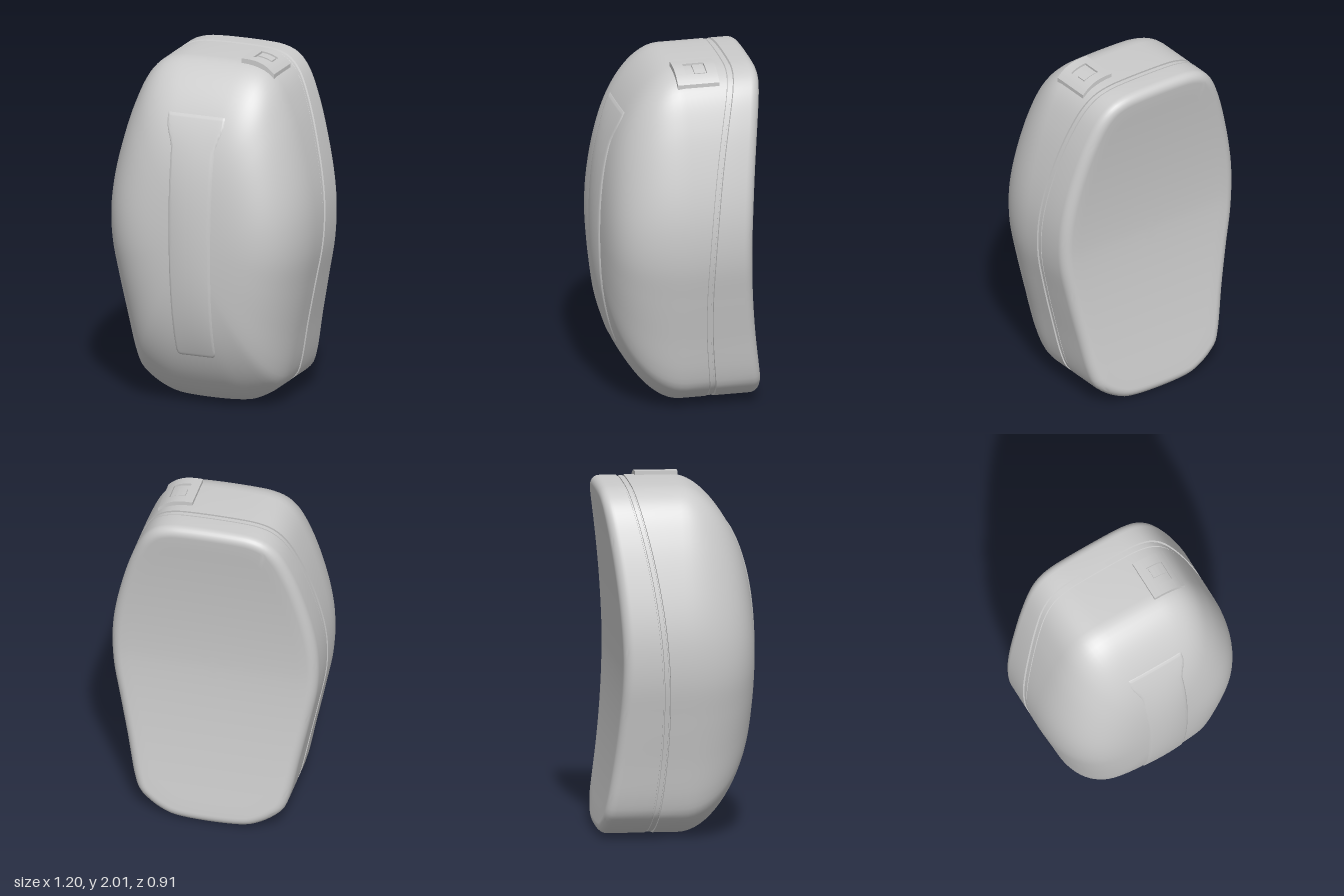
import * as THREE from 'three';
import { toCreasedNormals } from 'three/addons/utils/BufferGeometryUtils.js';

const MID = 0.99; // height of the shell's centre
const material = new THREE.MeshStandardMaterial({ color: 0xcccccc, side: THREE.DoubleSide });

// Right half of the outline, bottom to top
const half = [
  [0.2, 0.0], [0.29, 0.03], [0.37, 0.08], [0.42, 0.13], [0.45, 0.21], [0.5, 0.45], [0.55, 0.69],
  [0.59, 0.9], [0.6, 1.06], [0.59, 1.22], [0.55, 1.43], [0.47, 1.7], [0.39, 1.87], [0.32, 1.94],
  [0.24, 1.97], [0.14, 1.98],
];
const mirrored = half.map(([x, y]) => [-x, y]).reverse();
const curve = new THREE.CatmullRomCurve3(
  [...half, ...mirrored].map(([x, y]) => new THREE.Vector3(x, y - MID, 0)), true, 'centripetal');
const COUNT = 160;
const outline = curve.getSpacedPoints(COUNT);
outline[COUNT].copy(outline[0]);
const inward = outline.map((p, i) => {
  const a = outline[(i + COUNT - 1) % COUNT], b = outline[(i + 1) % COUNT];
  return new THREE.Vector3(a.y - b.y, b.x - a.x, 0).normalize();
});

// Depth rules for the back, the seam and the front
const backZ = (y) => -0.345 - 0.115 * Math.abs(y - 1) ** 1.7;
const seamZ = (y) => -0.1 - 0.12 * (y - 0.75) ** 2;
const frontZ = (y) => 0.437 - 0.137 * (y - 1) ** 2;

// Front depth at any point, from its distance to the outline along a ray
function bodyZ(x, y) {
  let s = 0;
  const dy = y - MID;
  for (let i = 0; i < COUNT; i++) {
    const a = outline[i], b = outline[i + 1];
    const ca = a.x * dy - a.y * x, cb = b.x * dy - b.y * x;
    if (ca >= 0 && cb < 0) {
      const t = ca / (ca - cb);
      s = Math.hypot(x, dy) / Math.hypot(a.x + (b.x - a.x) * t, a.y + (b.y - a.y) * t);
    }
  }
  return frontZ(y) * Math.sqrt(Math.max(0, 1 - s ** 4));
}

// Skin a list of equally long rows of points
function loft(name, rows, crease = 0.6) {
  const n = rows[0].length, index = [];
  for (let r = 0; r < rows.length - 1; r++) {
    for (let c = 0; c < n - 1; c++) {
      const a = r * n + c, b = a + n;
      index.push(a, a + 1, b, a + 1, b + 1, b);
    }
  }
  const geometry = new THREE.BufferGeometry().setFromPoints(rows.flat());
  geometry.setIndex(index);
  const mesh = new THREE.Mesh(toCreasedNormals(geometry, crease), material);
  mesh.name = name;
  return mesh;
}

// One ring of the shell: outline inset, scaled, then placed in depth by a rule
const ring = (inset, scale, zRule) => outline.map((p, i) => {
  const q = p.clone().addScaledVector(inward[i], inset).multiplyScalar(scale);
  q.y += MID;
  q.z = zRule(q.y);
  return q;
});

function backShell() {
  const rows = [], R = 0.06;
  for (let i = 0; i <= 10; i++) rows.push(ring(R, i / 10, backZ));
  for (let i = 1; i <= 8; i++) {
    const a = (i / 8) * Math.PI / 2;
    rows.push(ring(R * (1 - Math.sin(a)), 1, (y) => backZ(y) + R * (1 - Math.cos(a))));
  }
  rows.push(ring(0, 1, (y) => seamZ(y) - 0.022));
  return loft('backShell', rows);
}

// Shallow channel with a raised band in it
function seam() {
  const steps = [[0, -0.022], [0.01, -0.02], [0.01, -0.012], [0.004, -0.01],
    [0.004, 0.012], [0.01, 0.014], [0.01, 0.02], [0, 0.022]];
  return loft('zipperSeam', steps.map(([d, z]) => ring(d, 1, (y) => seamZ(y) + z)));
}

function frontShell() {
  const rows = [ring(0, 1, (y) => seamZ(y) + 0.022)];
  const N = 28;
  for (let i = 0; i <= N; i++) {
    const a = (Math.PI / 2) * (1 - (1 - i / N) ** 2);
    const scale = i === N ? 0 : Math.sqrt(Math.cos(a));
    rows.push(ring(0, scale, (y) => frontZ(y) * Math.sin(a)));
  }
  return loft('frontShell', rows);
}

// Long ridge on the front, flared at the top and rounded at the bottom
function frontPanel() {
  const Y0 = 0.31, Y1 = 1.73, R = 0.04, rows = [];
  const spread = (t) => Math.sin((t - 0.5) * Math.PI);
  for (let j = 0; j <= 70; j++) {
    const v = (spread(j / 70) + 1) / 2;
    const y = Y0 + (Y1 - Y0) * v;
    const d = Math.min(R, y - Y0);
    const w = 0.125 + 0.015 * v + 0.04 * THREE.MathUtils.smoothstep(y, 1.52, 1.69)
      - (R - Math.sqrt(R * R - (R - d) ** 2));
    const row = [];
    for (let i = 0; i <= 32; i++) {
      const u = spread(i / 32);
      const x = 0.01 * (1 - v ** 6) + u * w;
      const edge = Math.min((1 - Math.abs(u)) * w, y - Y0, Y1 - y);
      const lift = -0.004 + 0.009 * THREE.MathUtils.smoothstep(edge, 0, 0.015)
        + 0.015 * (1 - u * u) * Math.sin(Math.PI * v);
      row.push(new THREE.Vector3(x, y, bodyZ(x, y) + lift));
    }
    rows.push(row);
  }
  return loft('frontPanel', rows, 0.9);
}

// Box that follows the curve of the shoulder
function bentBox(name, x0, x1, z0, z1, top) {
  const bottom = -0.02;
  const geometry = new THREE.BoxGeometry(x1 - x0, top - bottom, z1 - z0, 8, 1, 1);
  geometry.translate((x0 + x1) / 2, (top + bottom) / 2, (z0 + z1) / 2);
  const pos = geometry.attributes.position;
  for (let i = 0; i < pos.count; i++) {
    pos.setY(i, pos.getY(i) + 1.98 - 9 * Math.max(0, pos.getX(i) - 0.16) ** 3);
  }
  const mesh = new THREE.Mesh(toCreasedNormals(geometry, 0.5), material);
  mesh.name = name;
  return mesh;
}

// Framed latch on the left shoulder
function latch() {
  const group = new THREE.Group();
  group.name = 'latch';
  group.add(
    bentBox('latchFrameLeft', 0.31, 0.36, -0.2, 0.04, 0.02),
    bentBox('latchFrameRight', 0.16, 0.21, -0.2, 0.04, 0.02),
    bentBox('latchFrameBack', 0.21, 0.31, -0.2, -0.14, 0.02),
    bentBox('latchFrameFront', 0.21, 0.31, -0.02, 0.04, 0.02),
    bentBox('latchFloor', 0.21, 0.31, -0.14, -0.02, 0.008),
    bentBox('latchButton', 0.22, 0.3, -0.13, -0.07, 0.015),
  );
  return group;
}

export function createModel() {
  const model = new THREE.Group();
  model.name = 'hardShellBackpack';
  model.add(backShell(), seam(), frontShell(), frontPanel(), latch());
  return model;
}
